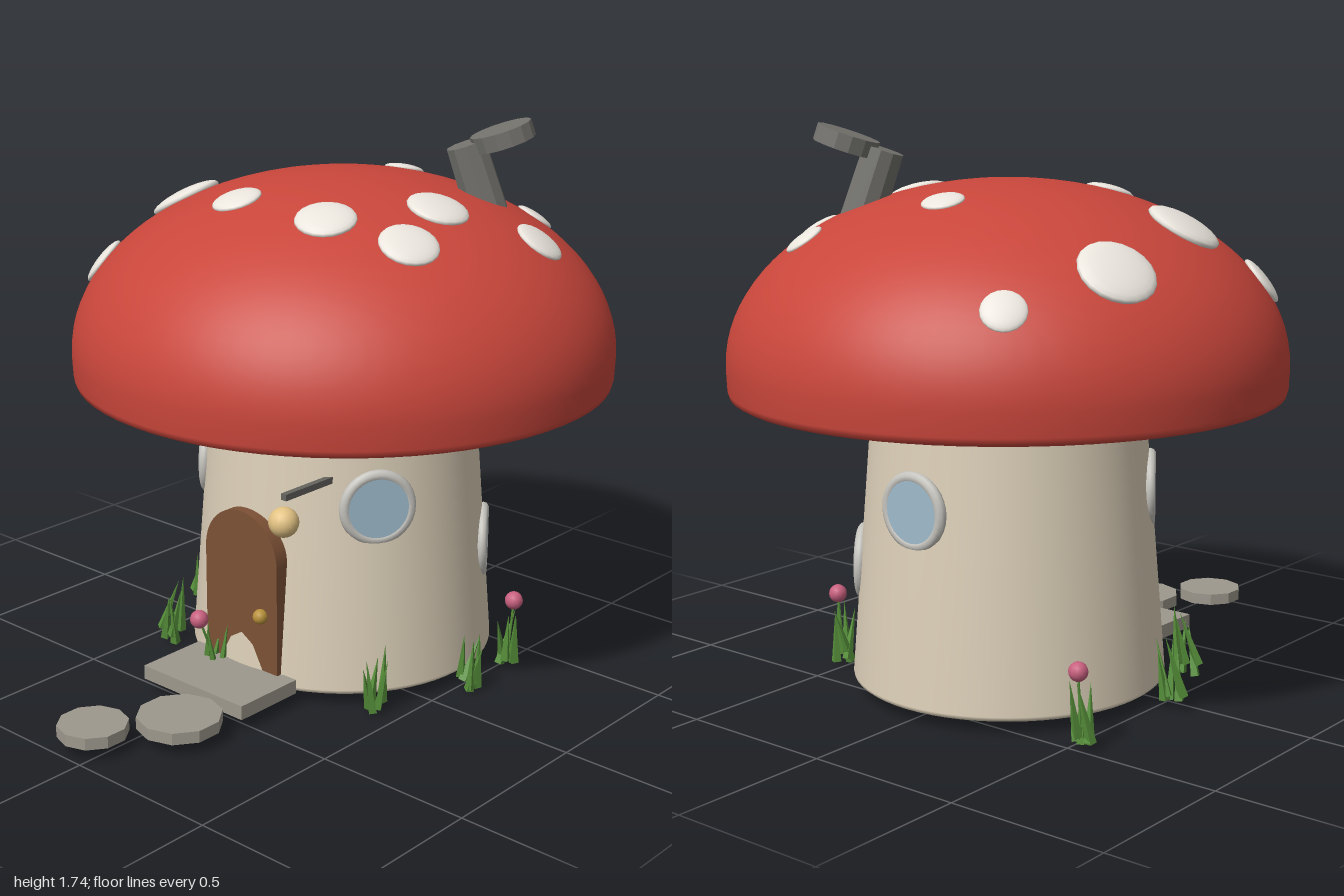
import * as THREE from 'three';

const AXIS_Z = -0.15; // centre line of stem and cap
const UP = new THREE.Vector3(0, 1, 0);
const OUT = new THREE.Vector3(0, 0, 1);
const v3 = (x, y, z) => new THREE.Vector3(x, y, z);
const mat = (color, flatShading = false) => new THREE.MeshStandardMaterial({ color, flatShading });

const M = {
  cap: mat(0xc9463b), spot: mat(0xe9e4dc), gill: mat(0x8f8570), stem: mat(0xdccfb8),
  door: mat(0x7d5136), brass: mat(0xb8913a), frame: mat(0xc6c4be), glass: mat(0x9fbacb),
  iron: mat(0x66645f), lamp: mat(0xe3c384), stone: mat(0x9d988d, true),
  chimney: mat(0x74736e, true), grass: mat(0x568f3a, true), flower: mat(0xc8607f),
};

function add(parent, name, geometry, material, position = v3(0, 0, 0)) {
  const mesh = new THREE.Mesh(geometry, material);
  mesh.name = name;
  mesh.position.copy(position);
  parent.add(mesh);
  return mesh;
}

function lathe(points, segments) {
  return new THREE.LatheGeometry(points.map(([r, y]) => new THREE.Vector2(r, y)), segments);
}

// small seeded generator for the grass
let seed = 7;
function rand(range) {
  seed = (seed * 16807) % 2147483647;
  return (seed / 2147483647 - 0.5) * 2 * range;
}

const stemRadius = (y) => 0.486 - 0.08 * (y - 0.06);

const CAP = { y: 1.03, r: 0.85, h: 0.55 };

// flattened ball lying on the dome, aligned to its normal
function addSpot(parent, x, z, r) {
  const dz = z - AXIS_Z;
  const y = CAP.h * Math.sqrt(1 - (x * x + dz * dz) / CAP.r ** 2);
  const normal = v3(x / CAP.r ** 2, y / CAP.h ** 2, dz / CAP.r ** 2).normalize();
  const spot = add(parent, 'spot', new THREE.SphereGeometry(r, 20, 12), M.spot, v3(x, CAP.y + y, z));
  spot.scale.y = 0.25;
  spot.quaternion.setFromUnitVectors(UP, normal);
}

// round window set into the wall, angle measured from the front towards +x
function addWindow(parent, angle, y) {
  const win = new THREE.Group();
  win.name = 'window';
  const a = THREE.MathUtils.degToRad(angle);
  const r = stemRadius(y);
  win.position.set(Math.sin(a) * r, y, AXIS_Z + Math.cos(a) * r);
  win.rotation.y = a;
  add(win, 'windowFrame', new THREE.TorusGeometry(0.102, 0.018, 10, 32), M.frame, v3(0, 0, -0.006));
  add(win, 'windowGlass', new THREE.CircleGeometry(0.095, 32), M.glass, v3(0, 0, 0.009));
  parent.add(win);
}

// tuft of narrow blades
function addTuft(parent, x, z) {
  const tuft = new THREE.Group();
  tuft.name = 'grassTuft';
  tuft.position.set(x, 0, z);
  for (let i = 0; i < 5; i++) {
    const a = i * 1.26 + rand(0.5);
    const h = 0.17 + rand(0.025);
    const blade = add(tuft, 'grassBlade', new THREE.ConeGeometry(0.017, h, 4), M.grass,
      v3(Math.cos(a) * 0.026, 0.03 + rand(0.02) + h / 2, Math.sin(a) * 0.026));
    blade.rotation.set(Math.sin(a) * 0.2 + rand(0.1), a, -Math.cos(a) * 0.2 + rand(0.1));
  }
  parent.add(tuft);
}

function addFlower(parent, base, tip) {
  add(parent, 'flower', new THREE.SphereGeometry(0.029, 12, 10), M.flower, tip);
  add(parent, 'flowerStalk', new THREE.TubeGeometry(new THREE.LineCurve3(base, tip), 1, 0.004, 5), M.grass);
}

export function createModel() {
  const model = new THREE.Group();
  model.name = 'mushroomHouse';

  // stem walls
  add(model, 'stem', lathe([[0, 0.045], [0.465, 0.045], [0.476, 0.047], [0.484, 0.053],
    [0.486, 0.062], [stemRadius(0.5), 0.5], [stemRadius(0.95), 0.95]], 64), M.stem, v3(0, 0, AXIS_Z));

  // cap: flat underside, rolled rim, elliptical dome
  const profile = [[0, 0.932], [0.8, 0.932], [0.828, 0.935], [0.842, 0.943], [0.847, 0.96]];
  for (let i = 0; i <= 24; i++) {
    const t = (i / 24) * Math.PI / 2;
    profile.push([i === 24 ? 0 : CAP.r * Math.cos(t), CAP.y + CAP.h * Math.sin(t)]);
  }
  const cap = new THREE.Group();
  cap.name = 'cap';
  add(cap, 'capDome', lathe(profile, 72), M.cap, v3(0, 0, AXIS_Z));

  // jagged gills under the cap
  const gills = new THREE.Shape();
  const teeth = 52;
  for (let i = 0; i < teeth * 2; i++) {
    const a = (i / teeth) * Math.PI;
    const r = i % 2 ? 0.635 : 0.7;
    gills[i ? 'lineTo' : 'moveTo'](Math.cos(a) * r, Math.sin(a) * r);
  }
  add(cap, 'gills', new THREE.ShapeGeometry(gills), M.gill, v3(0, 0.926, AXIS_Z)).rotation.x = Math.PI / 2;

  for (const [x, z, r] of [
    [-0.47, -0.74, 0.065], [-0.61, -0.43, 0.115], [-0.52, 0.02, 0.115], [-0.62, 0.29, 0.08],
    [-0.04, -0.49, 0.064], [0.37, -0.64, 0.062], [0.58, -0.37, 0.08], [0.39, -0.12, 0.095],
    [0.465, 0.105, 0.09], [0.225, 0.19, 0.092], [-0.12, 0.2, 0.077],
  ]) addSpot(cap, x, z, r);
  model.add(cap);

  // leaning chimney with its lid
  const lean = v3(-0.27, 1, 0.2).normalize();
  const flue = add(model, 'chimney', new THREE.CylinderGeometry(0.062, 0.068, 0.3, 10), M.chimney,
    v3(0.285, 1.665, -0.385).addScaledVector(lean, -0.15));
  const lid = add(model, 'chimneyLid', new THREE.CylinderGeometry(0.097, 0.097, 0.05, 14), M.chimney,
    v3(0.375, 1.69, -0.45));
  for (const part of [flue, lid]) part.quaternion.setFromUnitVectors(UP, lean);

  // arched door and knob
  const arch = new THREE.Shape();
  arch.moveTo(-0.15, 0.08);
  arch.lineTo(0.15, 0.08);
  arch.lineTo(0.15, 0.45);
  arch.absarc(0, 0.45, 0.15, 0, Math.PI, false);
  arch.closePath();
  add(model, 'door', new THREE.ExtrudeGeometry(arch, { depth: 0.1, bevelEnabled: false, curveSegments: 24 }),
    M.door, v3(0, 0, 0.225));
  add(model, 'doorKnob', new THREE.SphereGeometry(0.024, 12, 10), M.brass, v3(0.09, 0.28, 0.335));

  // windows
  for (const [angle, y] of [[55, 0.638], [-55, 0.638], [180, 0.638], [125, 0.39]]) addWindow(model, angle, y);

  // lantern on a bracket beside the door
  add(model, 'lampBracket', new THREE.BoxGeometry(0.02, 0.02, 0.22), M.iron, v3(0.25, 0.727, 0.29));
  add(model, 'lamp', new THREE.SphereGeometry(0.046, 16, 12), M.lamp, v3(0.25, 0.65, 0.4));

  // doorstep and stepping stones
  add(model, 'doorstep', new THREE.BoxGeometry(0.42, 0.045, 0.24), M.stone, v3(0, 0.073, 0.425));
  for (const [x, z, r] of [[0.09, 0.685, 0.13], [-0.06, 0.893, 0.107]]) {
    add(model, 'steppingStone', new THREE.CylinderGeometry(r, r, 0.037, 10), M.stone, v3(x, 0.067, z));
  }

  // grass and flowers round the base
  for (const [x, z] of [[-0.09, 0.35], [0.53, -0.35], [-0.54, -0.49], [0.42, 0.18],
    [0.54, -0.14], [-0.4, 0.23], [-0.54, -0.05]]) addTuft(model, x, z);
  addFlower(model, v3(-0.09, 0.1, 0.36), v3(-0.1, 0.24, 0.41));
  addFlower(model, v3(0.53, 0.05, -0.35), v3(0.54, 0.24, -0.36));
  addFlower(model, v3(-0.54, 0.05, -0.49), v3(-0.53, 0.24, -0.49));

  return model;
}
